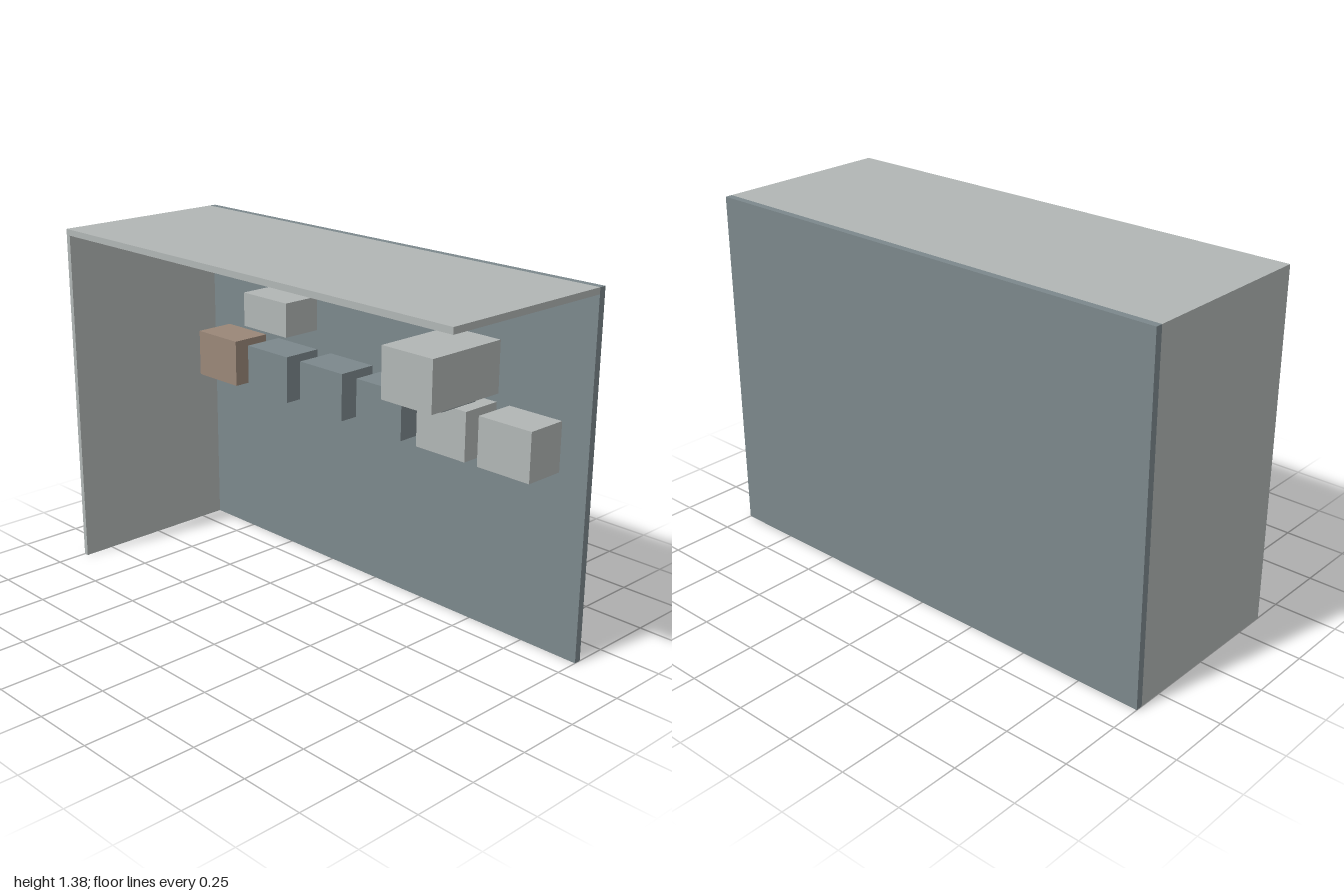
import * as THREE from 'three';

export function createModel() {
  const group = new THREE.Group();
  const material = (name, color) => {
    const m = new THREE.MeshStandardMaterial({ color });
    m.name = name;
    return m;
  };
  const lightGrey = material('lightGrey', 0xb1b6b5);
  const slate = material('slate', 0x7c888c);
  const brown = material('brown', 0x9a8778);

  // Box given by its extents along each axis
  function block(name, mat, [x0, x1], [y0, y1], [z0, z1]) {
    const mesh = new THREE.Mesh(new THREE.BoxGeometry(x1 - x0, y1 - y0, z1 - z0), mat);
    mesh.position.set((x0 + x1) / 2, (y0 + y1) / 2, (z0 + z1) / 2);
    mesh.name = name;
    group.add(mesh);
  }

  // Booth shell: back wall, one side wall and roof
  const wallFront = -0.347, front = 0.375;
  block('backWall', slate, [-1, 1], [0, 1.38], [-0.375, wallFront]);
  block('sideWall', lightGrey, [-1, -0.98], [0, 1.356], [wallFront, front]);
  block('roof', lightGrey, [-1, 1], [1.356, 1.38], [wallFront, front]);

  // Row of boxes mounted on the back wall
  const row = [
    [-0.885, brown], [-0.575, slate], [-0.265, slate],
    [0.046, slate], [0.356, lightGrey], [0.647, lightGrey],
  ];
  row.forEach(([x, mat], i) =>
    block(`wallBox${i + 1}`, mat, [x, x + 0.233], [0.699, 0.888], [wallFront, -0.181]));

  // Upper boxes, and the thin plate under the deep one
  block('upperBox', lightGrey, [-0.595, -0.345], [0.967, 1.105], [wallFront, -0.181]);
  block('deepUpperBox', lightGrey, [0.355, 0.595], [0.921, 1.12], [wallFront, 0.007]);
  block('underPlate', slate, [0.382, 0.568], [0.905, 0.917], [-0.255, -0.073]);

  return group;
}
